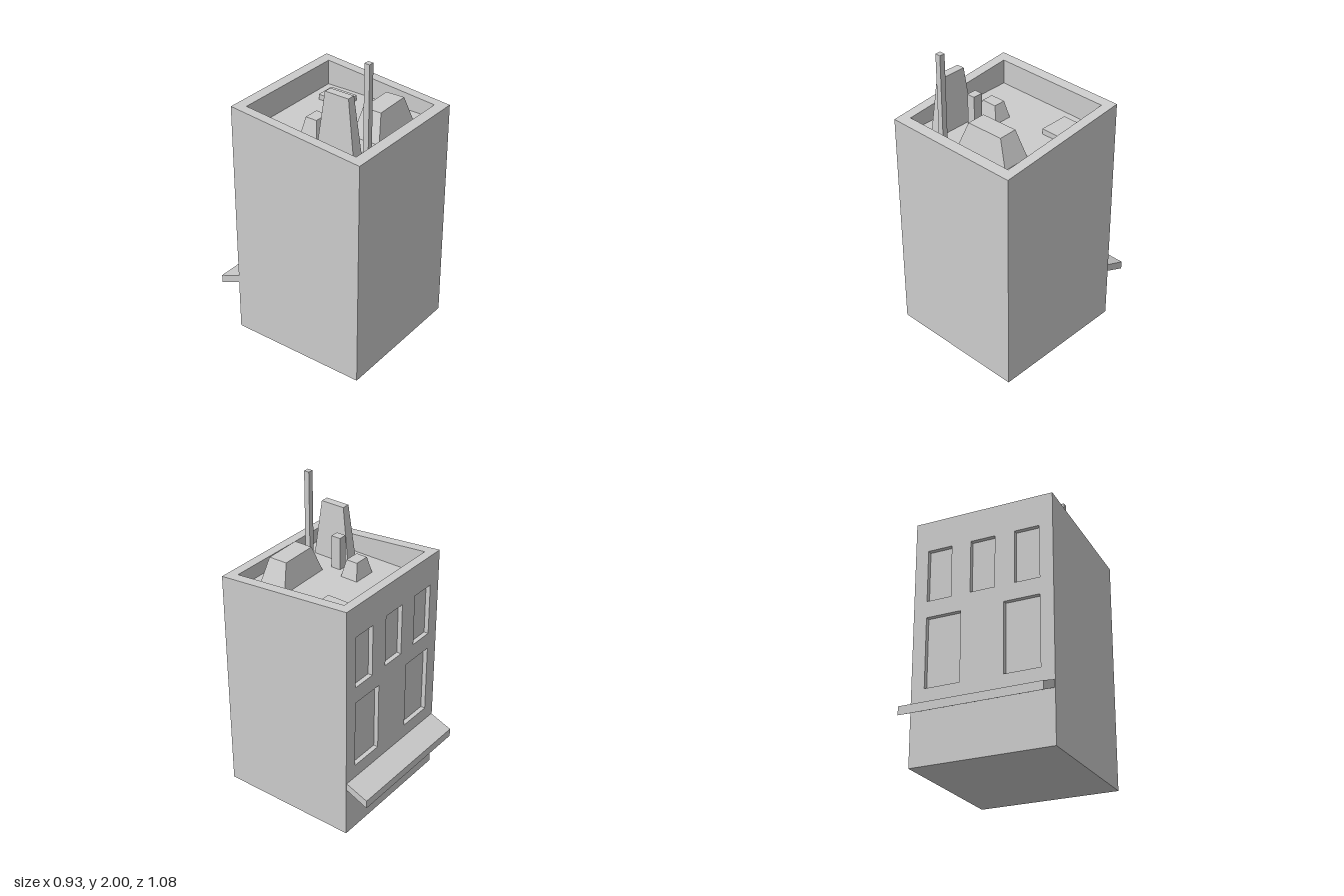
import * as THREE from 'three';

const W = 0.465, BACK = -0.39, FRONT = 0.54; // outer walls
const INNER = -0.36;                         // plane of the window panes
const ROOF = 1.43;                           // sunken roof deck

const material = new THREE.MeshStandardMaterial({ color: 0xcccccc, flatShading: true });

function rect(Type, x0, x1, y0, y1) {
  return new Type([[x0, y0], [x1, y0], [x1, y1], [x0, y1]].map(p => new THREE.Vector2(...p)));
}

function extrude(shape, depth) {
  return new THREE.ExtrudeGeometry(shape, { depth, bevelEnabled: false });
}

// Tilt the wall tops so they rise from front to back
function slopeTop(geometry) {
  const p = geometry.attributes.position;
  for (let i = 0; i < p.count; i++) {
    if (p.getY(i) > 1.5) p.setY(i, 1.6 - (p.getZ(i) - BACK) * 0.085 / (FRONT - BACK));
  }
  geometry.computeVertexNormals();
  return geometry;
}

// Box standing on the deck, tapering to a top of size tw x td
function tapered(w, d, tw, td, top) {
  const h = top - ROOF;
  const g = new THREE.BoxGeometry(w, h, d).translate(0, h / 2, 0);
  const p = g.attributes.position;
  for (let i = 0; i < p.count; i++) {
    if (p.getY(i) > h / 2) {
      p.setX(i, Math.sign(p.getX(i)) * tw / 2);
      p.setZ(i, Math.sign(p.getZ(i)) * td / 2);
    }
  }
  g.computeVertexNormals();
  return g;
}

export function createModel() {
  const model = new THREE.Group();
  const add = (name, geometry, x = 0, y = 0, z = 0) => {
    const mesh = new THREE.Mesh(geometry, material);
    mesh.name = name;
    mesh.position.set(x, y, z);
    model.add(mesh);
    return mesh;
  };

  // Main block up to the roof deck
  add('buildingBody', new THREE.BoxGeometry(2 * W, ROOF, FRONT - INNER), 0, ROOF / 2, (FRONT + INNER) / 2);

  // Rear facade with recessed windows
  const facade = rect(THREE.Shape, -W, W, 0, 1.6);
  for (const x of [-0.295, 0, 0.295]) {
    facade.holes.push(rect(THREE.Path, x - 0.082, x + 0.082, 1.05, 1.395));
  }
  for (const x of [-0.26, 0.26]) {
    facade.holes.push(rect(THREE.Path, x - 0.117, x + 0.117, 0.48, 0.94));
  }
  add('windowFacade', slopeTop(extrude(facade, INNER - BACK).translate(0, 0, BACK)));

  // Parapet around the sunken deck
  const rim = rect(THREE.Shape, -W, W, -FRONT, -INNER);
  rim.holes.push(rect(THREE.Path, -0.4, 0.4, -0.47, 0.325));
  add('parapet', slopeTop(extrude(rim, 1.6 - ROOF).rotateX(-Math.PI / 2).translate(0, ROOF, 0)));

  // Sloping awning along the rear
  const awning = new THREE.Shape(
    [[0.39, 0.34], [0.54, 0.275], [0.54, 0.33], [0.39, 0.39]].map(p => new THREE.Vector2(...p)));
  add('awning', extrude(awning, 0.92).rotateY(Math.PI / 2).translate(-0.46, 0, 0));

  // Roof fittings: name, x, z, base width and depth, top width and depth, top height, turn
  const fittings = [
    ['skylight', 0.109, 0.301, 0.378, 0.191, 0.25, 0.125, 1.605, 0.028],
    ['smallVent', -0.164, 0.01, 0.158, 0.12, 0.102, 0.078, 1.54, 0],
    ['chimney', -0.27, 0.256, 0.08, 0.262, 0.052, 0.165, 1.8, 0],
    ['flue', -0.174, 0.157, 0.055, 0.065, 0.055, 0.065, 1.645, 0],
    ['mast', -0.195, 0.402, 0.036, 0.036, 0.036, 0.036, 2, 0],
    ['roofHatch', 0.252, -0.143, 0.13, 0.196, 0.13, 0.196, 1.465, 0],
  ];
  for (const [name, x, z, w, d, tw, td, top, turn] of fittings) {
    add(name, tapered(w, d, tw, td, top), x, ROOF, z).rotation.y = turn;
  }

  return model;
}
